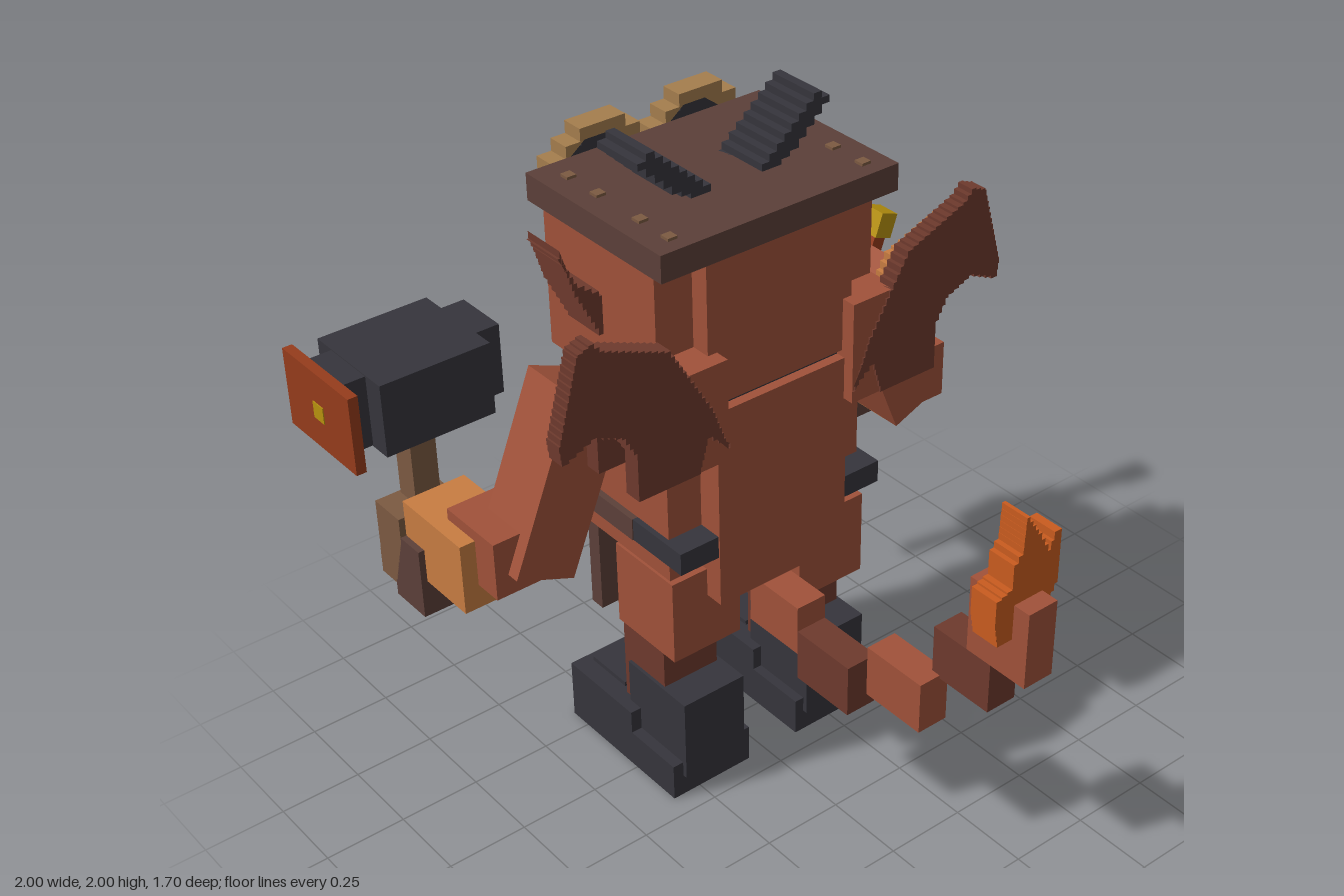
import * as THREE from 'three';

const C = 0.026; // the body's own mirror line in x
const mat = (name, color) => {
  const m = new THREE.MeshStandardMaterial({ color });
  m.name = name;
  return m;
};
const M = {
  skin: mat('rust skin', 0xa0523a),
  dark: mat('dark rust skin', 0x6e3a2d),
  tan: mat('tan skin', 0xc87d42),
  iron: mat('charcoal iron', 0x36353c),
  leather: mat('brown leather', 0x5c4039),
  brass: mat('brass', 0xa57e4e),
  wood: mat('wood', 0x7c5a42),
  yellow: mat('yellow', 0xb8920f),
  red: mat('brick red', 0x963c1c),
  flame: mat('flame orange', 0xca5c1f),
};

export function createModel() {
  const root = new THREE.Group();
  root.name = 'creature';

  const add = (name, geo, material) => {
    const mesh = new THREE.Mesh(geo, material);
    mesh.name = name;
    root.add(mesh);
    return mesh;
  };
  // Box given by its limits in x, y and z
  const box = (name, m, x0, x1, y0, y1, z0, z1) => {
    const mesh = add(name, new THREE.BoxGeometry(Math.abs(x1 - x0), y1 - y0, Math.abs(z1 - z0)), m);
    mesh.position.set((x0 + x1) / 2, (y0 + y1) / 2, (z0 + z1) / 2);
    return mesh;
  };
  // Box centred on the mirror line, with half width w
  const mid = (name, m, w, ...r) => box(name, m, C - w, C + w, ...r);
  // Mirrored pair; limits measured outward from the mirror line
  const pair = (name, m, a, b, ...r) => {
    for (const s of [1, -1]) box((s > 0 ? 'left' : 'right') + name, m, C + s * a, C + s * b, ...r);
  };
  // Bar tilted in the xy plane between two points
  const bar = (name, m, x0, y0, x1, y1, z, w, d) => {
    const mesh = add(name, new THREE.BoxGeometry(w, Math.hypot(x1 - x0, y1 - y0), d), m);
    mesh.position.set((x0 + x1) / 2, (y0 + y1) / 2, z);
    mesh.rotation.z = Math.atan2(x0 - x1, y1 - y0);
  };
  // Outline whose slanted edges become small stairs
  const stairs = (pts, step, s = 1) => {
    const out = [];
    pts.forEach(([x, y], i) => {
      const [u, v] = pts[(i + 1) % pts.length];
      const flat = Math.abs(u - x) < 0.005 || Math.abs(v - y) < 0.005;
      const n = flat ? 1 : Math.max(1, Math.round(Math.max(Math.abs(u - x), Math.abs(v - y)) / step));
      for (let k = 0; k < n; k++) {
        const px = x + (u - x) * k / n, py = y + (v - y) * k / n;
        out.push(new THREE.Vector2(s * px, py));
        if (!flat) out.push(new THREE.Vector2(s * px, y + (v - y) * (k + 1) / n));
      }
    });
    return new THREE.Shape(out);
  };
  const slab = (name, m, shape, x, z0, z1) => {
    const geo = new THREE.ExtrudeGeometry(shape, { depth: z1 - z0, bevelEnabled: false });
    add(name, geo, m).position.set(x, 0, z0);
  };

  // Head and flat cap
  mid('head', M.skin, 0.365, 1.32, 1.75, -0.57, -0.09);
  mid('headBack', M.skin, 0.245, 1.32, 1.75, -0.1, -0.03);
  mid('cap', M.leather, 0.393, 1.75, 1.83, -0.6, -0.02);
  for (const z of [-0.51, -0.38, -0.2, -0.08]) pair('CapRivet', M.wood, 0.305, 0.335, 1.83, 1.838, z - 0.015, z + 0.015);
  // Snout, jaw and mouth
  mid('snout', M.tan, 0.245, 1.39, 1.55, -0.7, -0.57);
  mid('jaw', M.tan, 0.2, 1.31, 1.39, -0.68, -0.56);
  mid('mouth', M.iron, 0.17, 1.37, 1.43, -0.705, -0.66);
  pair('Tooth', M.tan, 0.06, 0.1, 1.39, 1.43, -0.709, -0.7);
  mid('nose', M.dark, 0.06, 1.5, 1.58, -0.73, -0.64);
  // Eyes and brows
  pair('Eye', M.yellow, 0.08, 0.2, 1.55, 1.66, -0.578, -0.57);
  pair('Pupil', M.iron, 0.12, 0.155, 1.55, 1.66, -0.583, -0.575);
  pair('Cheek', M.dark, 0.2, 0.25, 1.58, 1.68, -0.62, -0.57);

  // Goggles with dark lenses
  const oct = (rx, ry) => [[1, 0.35], [0.35, 1], [-0.35, 1], [-1, 0.35], [-1, -0.35], [-0.35, -1], [0.35, -1], [1, -0.35]]
    .map(([x, y]) => [x * rx, 1.785 + y * ry]);
  for (const s of [1, -1]) {
    const ring = stairs(oct(0.145, 0.115), 0.04);
    ring.holes.push(new THREE.Path(oct(0.105, 0.08).map(p => new THREE.Vector2(...p))));
    slab('goggleRim', M.brass, ring, C + s * 0.165, -0.67, -0.6);
    slab('goggleLens', M.iron, stairs(oct(0.115, 0.09), 0.04), C + s * 0.165, -0.65, -0.61);
  }
  mid('goggleBridge', M.brass, 0.04, 1.76, 1.8, -0.68, -0.61);

  // Horns, ears and wings
  for (const s of [1, -1]) {
    slab('horn', M.iron, stairs([[0.06, 1.83], [0.15, 1.83], [0.2, 1.86], [0.315, 1.96], [0.26, 2]].map(
      ([x, y], i) => [i === 2 ? 0.21 : x, y]), 0.025, s), C, -0.38, -0.21);
    slab('ear', M.dark, stairs([[0.33, 1.45], [0.38, 1.46], [0.45, 1.6], [0.495, 1.75], [0.44, 1.64], [0.33, 1.56]], 0.022, s), C, -0.46, -0.32);
    slab('wing', M.dark, stairs([[0.215, 1.21], [0.29, 1.27], [0.32, 1.17], [0.515, 1.17], [0.515, 1.3], [0.56, 1.38],
      [0.655, 1.42], [0.745, 1.38], [0.75, 1.42], [0.68, 1.67], [0.63, 1.69], [0.6, 1.66], [0.4, 1.58], [0.34, 1.48], [0.27, 1.36]], 0.02, s), C, -0.035, 0.02);
    slab('wingMembrane', M.tan, stairs([[0.32, 1.4], [0.52, 1.36], [0.57, 1.42], [0.655, 1.46], [0.71, 1.42], [0.65, 1.63], [0.4, 1.54]], 0.025, s), C, -0.075, -0.035);
  }
  pair('WingRoot', M.skin, 0.215, 0.37, 1.17, 1.48, -0.12, 0.015);

  // Torso, belly and belt
  mid('neck', M.iron, 0.22, 1.28, 1.33, -0.5, -0.05);
  mid('torso', M.skin, 0.338, 0.76, 1.3, -0.47, -0.1);
  mid('torsoBack', M.skin, 0.225, 0.67, 1.3, -0.4, -0.02);
  mid('belly', M.tan, 0.2, 0.65, 1.1, -0.55, -0.3);
  mid('belt', M.leather, 0.358, 0.83, 0.9, -0.59, -0.24);
  pair('BeltBack', M.iron, 0.225, 0.355, 0.83, 0.9, -0.24, -0.025);
  // Apron with pouch and buckle
  mid('apronBib', M.leather, 0.2, 0.89, 1.29, -0.57, -0.45);
  pair('ApronStrap', M.wood, 0.2, 0.28, 1.12, 1.29, -0.57, -0.39);
  mid('apronSkirt', M.leather, 0.28, 0.39, 0.85, -0.57, -0.52);
  mid('pouch', M.brass, 0.12, 0.66, 0.8, -0.6, -0.57);
  const buckle = new THREE.Shape([[-0.06, 0.78], [0.06, 0.78], [0.06, 0.88], [-0.06, 0.88]].map(p => new THREE.Vector2(...p)));
  buckle.holes.push(new THREE.Path([[-0.03, 0.81], [-0.03, 0.85], [0.03, 0.85], [0.03, 0.81]].map(p => new THREE.Vector2(...p))));
  slab('buckle', M.brass, buckle, C, -0.64, -0.58);

  // Legs and boots
  pair('Thigh', M.skin, 0.11, 0.346, 0.49, 0.76, -0.34, -0.08);
  pair('Shin', M.dark, 0.135, 0.325, 0.2, 0.54, -0.35, -0.16);
  pair('BootShaft', M.iron, 0.12, 0.335, 0.07, 0.34, -0.32, -0.055);
  pair('BootSole', M.iron, 0.09, 0.37, 0, 0.12, -0.57, -0.07);
  pair('BootToe', M.iron, 0.09, 0.37, 0.1, 0.195, -0.57, -0.27);
  pair('BootTongue', M.iron, 0.15, 0.31, 0.19, 0.21, -0.54, -0.38);
  pair('BootTrim', M.wood, 0.13, 0.33, 0.1, 0.13, -0.59, -0.57);

  // Arms, hands and gloves
  pair('Shoulder', M.dark, 0.335, 0.52, 1.17, 1.32, -0.4, -0.15);
  for (const s of [1, -1]) bar('arm', M.skin, C + s * 0.675, 0.87, C + s * 0.47, 1.37, -0.295, 0.195, 0.19);
  pair('Forearm', M.skin, 0.585, 0.805, 0.84, 1.02, -0.46, -0.24);
  pair('Hand', M.tan, 0.655, 0.853, 0.765, 0.985, -0.61, -0.33);
  pair('Glove', M.leather, 0.635, 0.872, 0.65, 0.87, -0.66, -0.52);
  pair('Palm', M.wood, 0.68, 0.872, 0.7, 0.93, -0.73, -0.61);
  for (let i = 0; i < 3; i++) pair('Finger', M.wood, 0.69 + i * 0.065, 0.73 + i * 0.065, 0.67, 0.75, -0.755, -0.66);

  // Hammer in the right hand
  box('hammerHandle', M.wood, -0.77, -0.69, 0.55, 1.2, -0.72, -0.64);
  box('hammerSocket', M.brass, -0.8, -0.66, 1.15, 1.2, -0.75, -0.61);
  box('hammerHead', M.iron, -0.9, -0.56, 1.2, 1.42, -0.84, -0.53);
  box('hammerCore', M.iron, -0.97, -0.485, 1.203, 1.417, -0.77, -0.6);
  box('hammerFace', M.red, -1, -0.97, 1.19, 1.425, -0.85, -0.52);
  box('hammerSpark', M.yellow, -1.003, -0.997, 1.28, 1.33, -0.71, -0.66);

  // Two lit sticks with iron legs in the left hand
  for (const s of [1, -1]) {
    const X = 0.782;
    bar('stickLeg', M.iron, X + s * 0.195, 0.52, X + s * 0.06, 0.85, -0.68, 0.04, 0.045);
    bar('stick', M.red, X + s * 0.05, 0.88, X + s * 0.16, 1.17, -0.68, 0.045, 0.055);
    bar('stickTip', M.yellow, X + s * 0.158, 1.165, X + s * 0.185, 1.24, -0.68, 0.065, 0.08);
  }

  // Tail in five blocks, ending in a flame
  [[-0.03, 0.49, 0.65, -0.1, 0.11], [-0.03, 0.405, 0.57, 0.11, 0.325], [0.04, 0.445, 0.61, 0.325, 0.54],
    [0.11, 0.6, 0.76, 0.51, 0.725], [0.11, 0.76, 1, 0.635, 0.85]].forEach(([x, y0, y1, z0, z1], i) =>
    box('tail' + (i + 1), i % 2 ? M.dark : M.skin, x, x + 0.1, y0, y1, z0, z1));
  slab('tailFlame', M.flame, stairs([[0.06, 0.89], [0.21, 0.89], [0.265, 1], [0.265, 1.17], [0.24, 1.17], [0.22, 1.12],
    [0.18, 1.19], [0.135, 1.26], [0.13, 1.17], [0.1, 1.13], [0.1, 1.06], [0.045, 1.04], [0.045, 0.97]], 0.02), 0, 0.705, 0.795);
  slab('flameCore', M.yellow, stairs([[0.11, 0.98], [0.21, 0.98], [0.2, 1.06], [0.15, 1.14], [0.13, 1.06]], 0.02), 0, 0.698, 0.706);

  return root;
}
